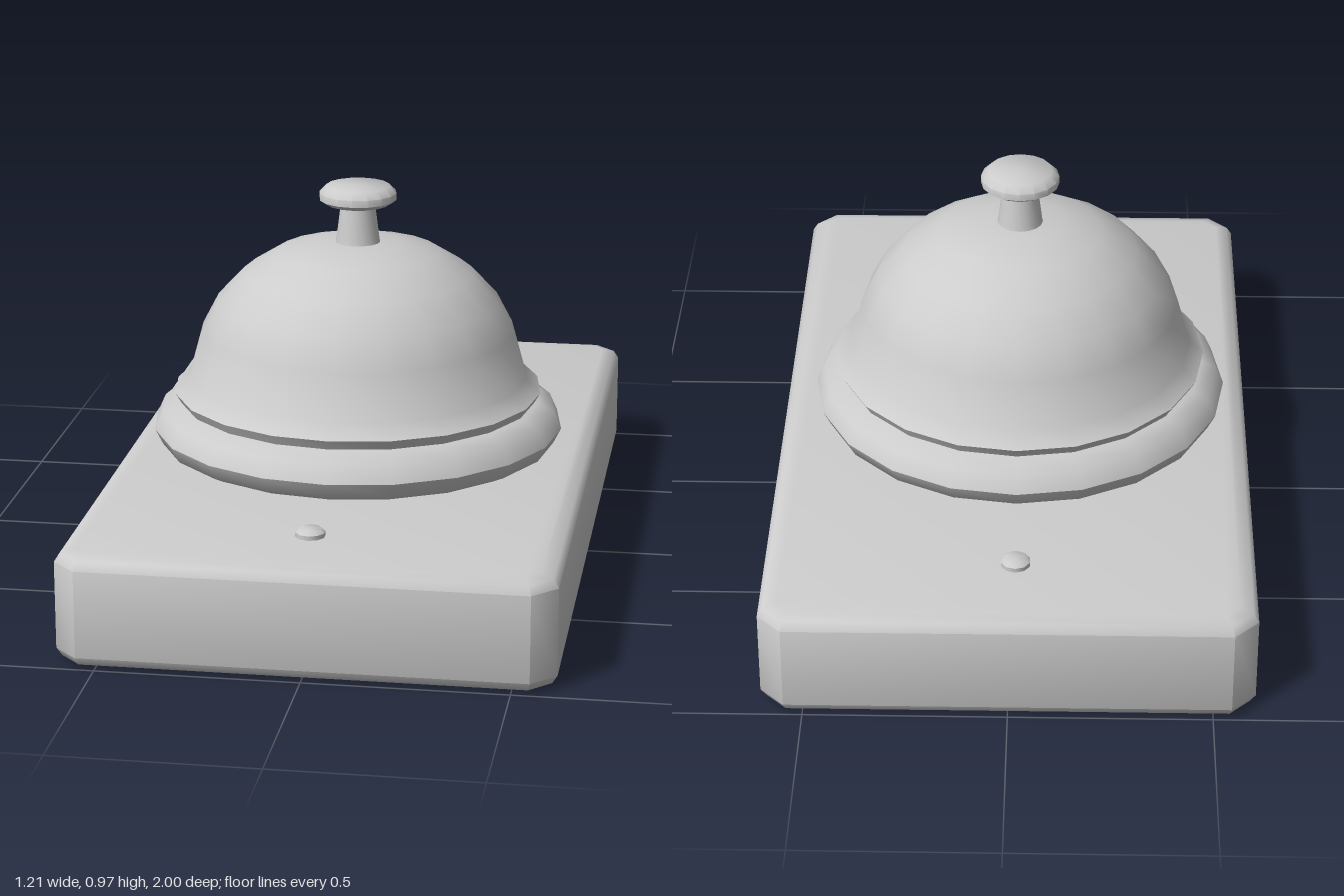
import * as THREE from 'three';
import { toCreasedNormals } from 'three/addons/utils/BufferGeometryUtils.js';

export function createModel() {
  const model = new THREE.Group();
  model.name = 'serviceBell';
  const grey = new THREE.MeshStandardMaterial({ color: 0xcccccc });
  grey.name = 'plain grey';

  const add = (name, geometry, x = 0, y = 0, z = 0) => {
    const mesh = new THREE.Mesh(geometry, grey);
    mesh.name = name;
    mesh.position.set(x, y, z);
    model.add(mesh);
  };
  // Turned part from [radius, height] pairs, bottom to top
  const turned = (points, sides, crease = 0.8) => toCreasedNormals(
    new THREE.LatheGeometry(points.map(([r, y]) => new THREE.Vector2(r, y)), sides), crease);

  // Base block with clipped corners and bevelled edges
  const w = 0.605, d = 1, cut = 0.06, height = 0.28, bevel = 0.03;
  const outline = new THREE.Shape([
    [w, d - cut], [w - cut, d], [cut - w, d], [-w, d - cut],
    [-w, cut - d], [cut - w, -d], [w - cut, -d], [w, cut - d],
  ].map(([x, y]) => new THREE.Vector2(x, y)));
  const base = new THREE.ExtrudeGeometry(outline, {
    depth: height - 2 * bevel, bevelEnabled: true, bevelThickness: bevel,
    bevelSize: 0.045, bevelOffset: -0.045, bevelSegments: 2,
  });
  base.rotateX(-Math.PI / 2).translate(0, bevel, 0);
  add('base', toCreasedNormals(base, 0.9));

  // Everything on the base shares one slightly shifted axis
  const cx = -0.012;
  add('ring', turned([[0, 0.275], [0.485, 0.28], [0.515, 0.295], [0.535, 0.335],
    [0.515, 0.38], [0.475, 0.402], [0, 0.404]], 20), cx);
  add('dome', turned([[0, 0.4], [0.465, 0.404], [0.48, 0.43], [0.443, 0.465],
    [0.41, 0.585], [0.368, 0.665], [0.3, 0.738], [0.208, 0.795],
    [0.115, 0.818], [0, 0.821]], 20), cx);
  add('stem', turned([[0.06, 0.81], [0.056, 0.83], [0.044, 0.925]], 16), cx);
  add('button', turned([[0, 0.92], [0.082, 0.92], [0.1, 0.932], [0.1, 0.95],
    [0.082, 0.968], [0, 0.969]], 16), cx);

  // Screw heads on the front and back of the base
  const screw = turned([[0.037, -0.01], [0.037, 0.011], [0.027, 0.02], [0, 0.02]], 10);
  for (const side of [1, -1]) {
    add(side > 0 ? 'frontScrew' : 'backScrew', screw, -0.015, height, side * 0.752);
  }
  return model;
}
